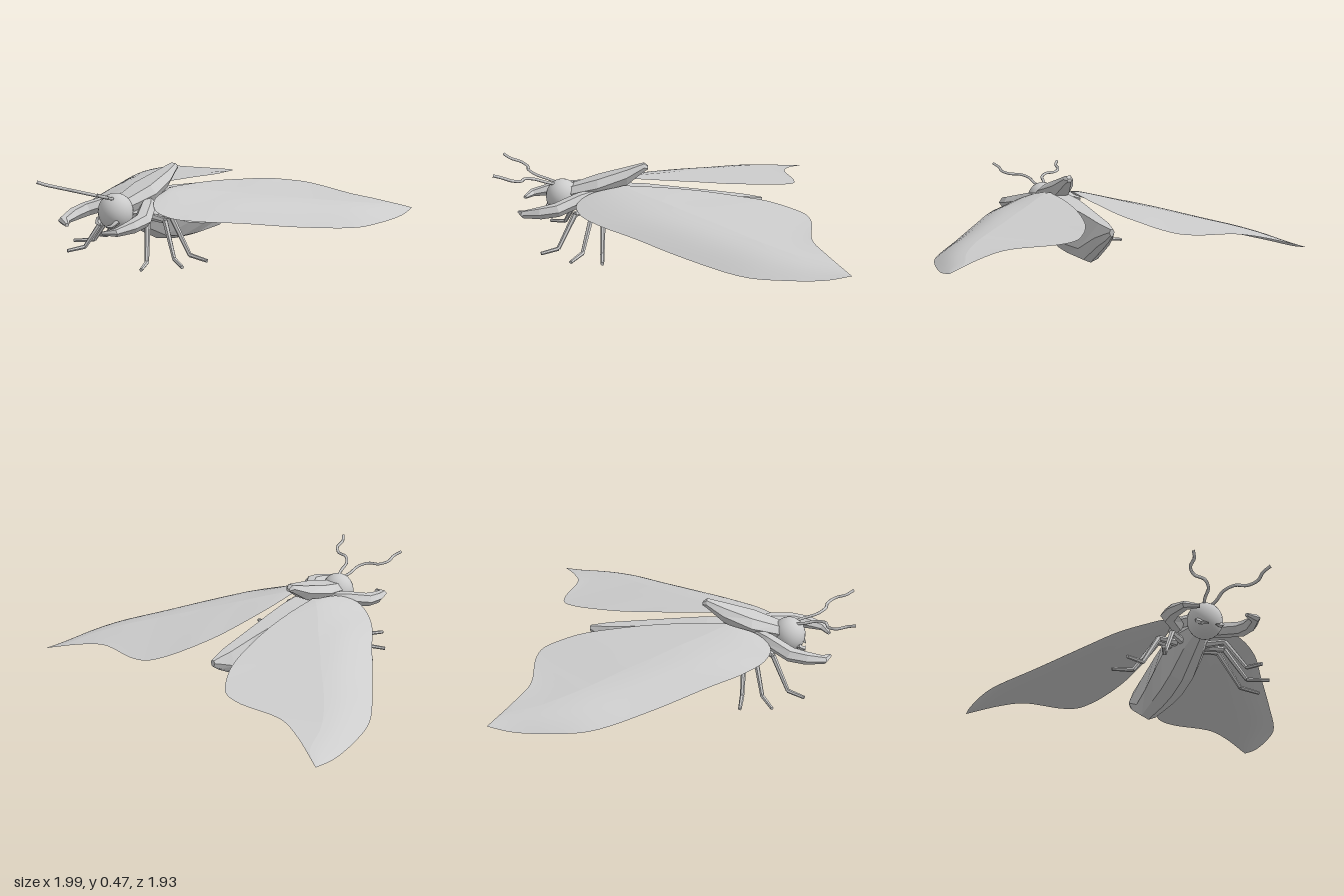
import * as THREE from 'three';

const V = (x, y, z) => new THREE.Vector3(x, y, z);
const faceted = new THREE.MeshStandardMaterial({ color: 0xcccccc, flatShading: true });
const smooth = new THREE.MeshStandardMaterial({ color: 0xcccccc });
const sheet = new THREE.MeshStandardMaterial({ color: 0xcccccc, side: THREE.DoubleSide });

function named(name, geometry, material) {
  const mesh = new THREE.Mesh(geometry, material);
  mesh.name = name;
  return mesh;
}

// Closed solid through rings of equal point count, wound outward
function loft(rings) {
  const n = rings[0].length, last = rings.length - 1;
  const pts = rings.flat(), idx = [];
  for (let i = 0; i < last; i++) for (let j = 0; j < n; j++) {
    const a = i * n + j, b = i * n + (j + 1) % n;
    idx.push(a, b, a + n, b, b + n, a + n);
  }
  for (const [r, flip] of [[0, true], [last, false]]) {
    const centre = rings[r].reduce((s, p) => s.add(p), V(0, 0, 0)).divideScalar(n);
    const c = pts.push(centre) - 1;
    for (let j = 0; j < n; j++) {
      const a = r * n + j, b = r * n + (j + 1) % n;
      idx.push(...(flip ? [b, a, c] : [a, b, c]));
    }
  }
  let volume = 0;
  for (let i = 0; i < idx.length; i += 3)
    volume += pts[idx[i]].dot(pts[idx[i + 1]].clone().cross(pts[idx[i + 2]]));
  if (volume < 0) idx.reverse();
  const g = new THREE.BufferGeometry().setFromPoints(pts);
  g.setIndex(idx);
  g.computeVertexNormals();
  return g;
}

// Faceted limb: nodes are [x, y, z, half width, half height]
function limb(nodes, s, sides = 6) {
  const c = nodes.map(n => V(n[0] * s, n[1], n[2]));
  return loft(c.map((p, i) => {
    const dir = c[Math.min(i + 1, c.length - 1)].clone().sub(c[Math.max(i - 1, 0)]).normalize();
    const side = V(0, 1, 0).cross(dir).normalize();
    const up = dir.clone().cross(side);
    return Array.from({ length: sides }, (_, k) => {
      const a = k / sides * Math.PI * 2;
      return p.clone().addScaledVector(side, Math.cos(a) * nodes[i][3])
        .addScaledVector(up, Math.sin(a) * nodes[i][4]);
    });
  }));
}

// Ruled panel between two curves, arched upward by bulge
function panel(a, b, bulge, s) {
  const U = 48, W = 8;
  const g = new THREE.PlaneGeometry(1, 1, U, W), pos = g.attributes.position;
  for (let j = 0; j <= W; j++) for (let i = 0; i <= U; i++) {
    const p = a.getPoint(i / U).lerp(b.getPoint(i / U), j / W);
    const arch = bulge * Math.sin(Math.PI * j / W) * Math.sin(Math.PI * i / U);
    pos.setXYZ(j * (U + 1) + i, p.x * s, p.y + arch, p.z);
  }
  if (s > 0) g.setIndex(Array.from(g.index.array).reverse());
  g.computeVertexNormals();
  return g;
}

const curve = rows => new THREE.CatmullRomCurve3(rows.map(r => V(...r)), false, 'centripetal');

// Wing lines from root to tip
const leading = curve([[0.08, 0.345, 0.25], [0.13, 0.32, 0.41], [0.21, 0.28, 0.485], [0.3, 0.25, 0.46],
  [0.42, 0.23, 0.35], [0.55, 0.205, 0.16], [0.75, 0.16, -0.13], [0.93, 0.132, -0.42],
  [0.975, 0.132, -0.6], [0.995, 0.14, -0.83], [0.985, 0.16, -0.965]]);
const vein = curve([[0.08, 0.352, 0.23], [0.12, 0.35, 0.19], [0.2, 0.337, 0.1], [0.3, 0.318, -0.03],
  [0.41, 0.297, -0.16], [0.52, 0.276, -0.3], [0.64, 0.253, -0.44], [0.75, 0.232, -0.58],
  [0.84, 0.208, -0.73], [0.9, 0.185, -0.9], [0.985, 0.16, -0.965]]);
const trailing = curve([[0.07, 0.352, 0.22], [0.068, 0.34, 0.0], [0.08, 0.325, -0.21], [0.11, 0.303, -0.43],
  [0.16, 0.285, -0.62], [0.22, 0.265, -0.74], [0.29, 0.25, -0.82], [0.39, 0.24, -0.84],
  [0.65, 0.225, -0.81], [0.79, 0.205, -0.86], [0.985, 0.16, -0.965]]);

export function createModel() {
  const model = new THREE.Group();

  // Abdomen sections: z, half width, top, side, lower edge, keel
  const abdomen = [
    [0.52, 0.06, 0.31, 0.25, 0.21, 0.19], [0.42, 0.1, 0.33, 0.24, 0.16, 0.135],
    [0.25, 0.12, 0.33, 0.19, 0.075, 0.045], [0.1, 0.12, 0.325, 0.13, 0.04, 0.013],
    [-0.05, 0.11, 0.31, 0.095, 0.03, 0.004], [-0.28, 0.078, 0.29, 0.097, 0.03, 0.01],
    [-0.48, 0.058, 0.27, 0.19, 0.145, 0.13], [-0.55, 0.032, 0.262, 0.22, 0.185, 0.175],
    [-0.6, 0.015, 0.255, 0.24, 0.222, 0.215],
  ].map(([z, w, t, m, l, b]) => [V(-w * 0.5, t, z), V(w * 0.5, t, z), V(w, m, z),
    V(w * 0.58, l, z), V(0, b, z), V(-w * 0.58, l, z), V(-w, m, z)]);
  model.add(named('abdomen', loft(abdomen), faceted));

  // Raised shield over the thorax: z, half width, top, side, bottom
  const shield = [
    [0.53, 0.075, 0.335, 0.3, 0.23], [0.37, 0.11, 0.385, 0.345, 0.26],
    [0.2, 0.068, 0.435, 0.395, 0.345], [0.1, 0.03, 0.467, 0.445, 0.42], [0.075, 0.015, 0.45, 0.44, 0.432],
  ].map(([z, w, t, m, b]) => [V(-w * 0.55, t, z), V(w * 0.55, t, z), V(w, m, z),
    V(w * 0.6, b, z), V(-w * 0.6, b, z), V(-w, m, z)]);
  model.add(named('thoraxShield', loft(shield), faceted));

  // Head
  const head = named('head', new THREE.SphereGeometry(0.1, 24, 16), smooth);
  head.position.set(0, 0.265, 0.585);
  head.scale.set(1, 1.04, 0.97);
  model.add(head);

  for (const s of [1, -1]) {
    const tag = s > 0 ? 'left' : 'right';
    const add = (part, geometry, material) => model.add(named(tag + part, geometry, material));

    // Wing in two panels meeting at a sharp vein
    add('WingOuterPanel', panel(vein, leading, 0.025, s), sheet);
    add('WingInnerPanel', panel(trailing, vein, 0, s), sheet);

    // Antenna
    const feeler = curve([[0.02, 0.345, 0.62], [0.035, 0.36, 0.67], [0.045, 0.383, 0.74], [0.09, 0.4, 0.79],
      [0.155, 0.405, 0.805], [0.197, 0.42, 0.85], [0.2, 0.44, 0.91], [0.225, 0.46, 0.955]]
      .map(([x, y, z]) => [x * s, y, z]));
    add('Antenna', new THREE.TubeGeometry(feeler, 40, 0.009, 6), smooth);

    // Mandible
    add('Mandible', limb([[0.07, 0.23, 0.64, 0.02, 0.015], [0.055, 0.205, 0.67, 0.016, 0.012],
      [0.02, 0.2, 0.685, 0.004, 0.004]], s, 4), faceted);

    // Grasping foreleg
    add('Foreleg', limb([[0.07, 0.3, 0.39, 0.03, 0.03], [0.13, 0.285, 0.47, 0.045, 0.042],
      [0.215, 0.25, 0.6, 0.05, 0.04], [0.222, 0.235, 0.69, 0.042, 0.036],
      [0.2, 0.22, 0.79, 0.032, 0.022], [0.135, 0.212, 0.825, 0.012, 0.01]], s), faceted);

    // Walking legs: hip, knee, ankle, toe
    [
      ['FrontLeg', [0.07, 0.21, 0.42], [0.16, 0.205, 0.5], [0.24, 0.022, 0.595], [0.285, 0.01, 0.69]],
      ['MiddleLeg', [0.07, 0.21, 0.38], [0.2, 0.21, 0.4], [0.31, 0.022, 0.45], [0.42, 0.01, 0.51]],
      ['HindLeg', [0.07, 0.21, 0.335], [0.19, 0.22, 0.335], [0.325, 0.022, 0.335], [0.445, 0.01, 0.33]],
    ].forEach(([name, hip, knee, ankle, toe]) => {
      const leg = new THREE.Group();
      leg.name = tag + name;
      leg.add(named('thigh', limb([[...hip, 0.022, 0.022], [...knee, 0.016, 0.016]], s), faceted));
      leg.add(named('shin', limb([[...knee, 0.016, 0.016], [...ankle, 0.012, 0.012]], s), faceted));
      leg.add(named('foot', limb([[...ankle, 0.013, 0.012], [...toe, 0.01, 0.01]], s), faceted));
      model.add(leg);
    });
  }
  return model;
}
